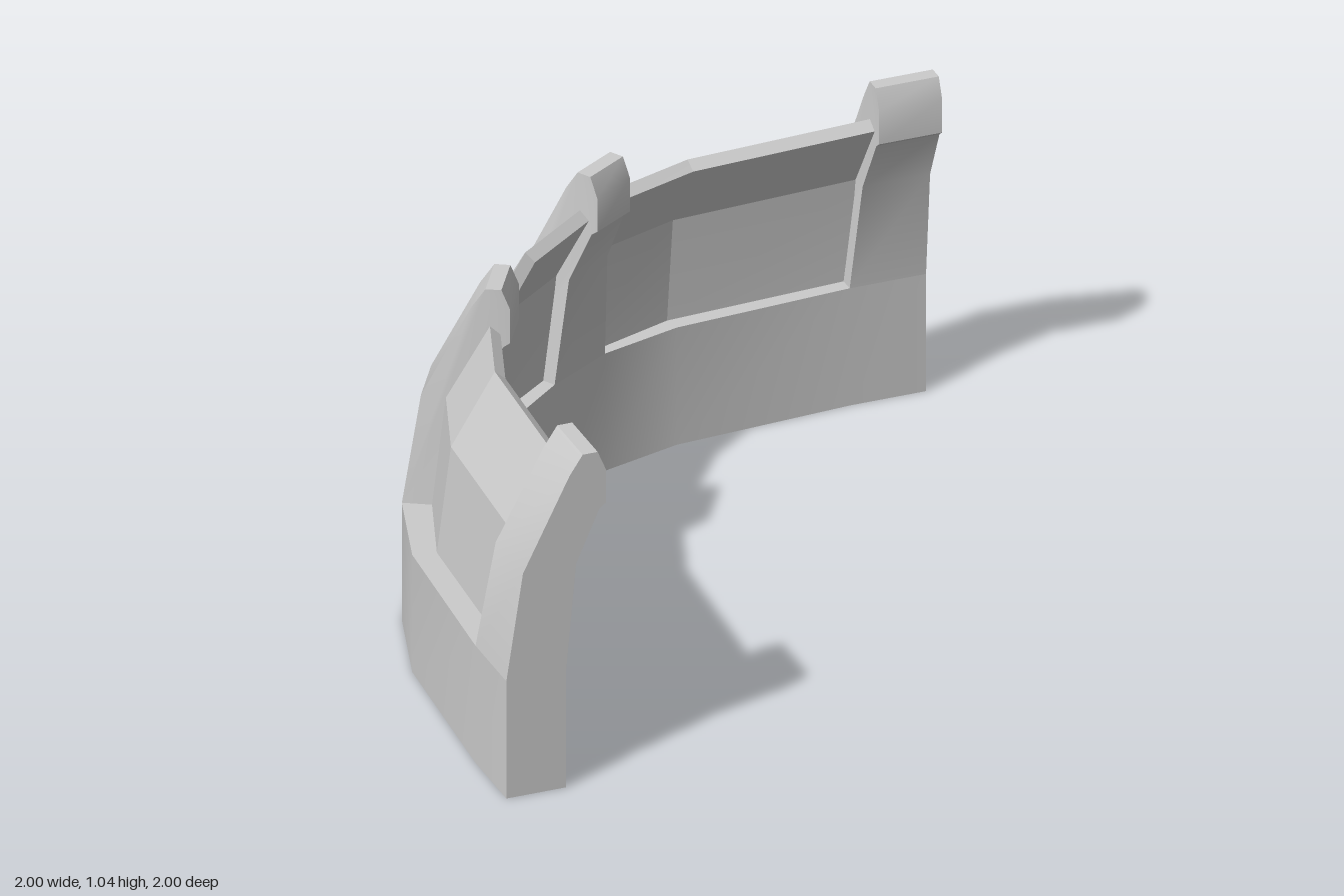
import * as THREE from 'three';
import { toCreasedNormals } from 'three/addons/utils/BufferGeometryUtils.js';

const material = new THREE.MeshStandardMaterial({ color: 0xcccccc });

// Outer plan line of half the wall: x, z and the angle of the inward direction.
const half = [
  [-1, 1, 0], [-1, 0.77, 0], [-0.96, 0.2, 11],
  [-0.87, -0.1, 30], [-0.75, -0.3, 30], [-0.55, -0.55, 45],
];
// The other half mirrors it across the diagonal.
const mirrored = half.slice(0, -1).reverse().map(([x, z, a]) => [z, x, 90 - a]);
const path = [...half, ...mirrored];

// Cross-sections as (inward offset, height), counter-clockwise.
const baseProfile = [[0, 0], [0.18, 0], [0.18, 0.37], [0, 0.37]];
const panelProfile = [
  [0.07, 0.35], [0.13, 0.35], [0.13, 0.37], [0.16, 0.7],
  [0.265, 0.9], [0.235, 0.925], [0.11, 0.7], [0.07, 0.37],
];
const pillarProfile = [
  [0, 0.37], [0.18, 0.37], [0.21, 0.7], [0.28, 0.86], [0.3, 0.875], [0.3, 0.98],
  [0.275, 1.04], [0.23, 1.04], [0.19, 0.98], [0.05, 0.7],
];

// Sweeps a closed profile along stations; shift(i, y) slides points along the wall.
function sweep(name, stations, profile, crease, shift = () => 0) {
  const n = profile.length;
  const positions = [];
  const index = [];
  stations.forEach(([x, z, degrees], i) => {
    const c = Math.cos(THREE.MathUtils.degToRad(degrees));
    const s = Math.sin(THREE.MathUtils.degToRad(degrees));
    for (const [d, y] of profile) {
      const t = shift(i, y);
      positions.push(x + c * d + s * t, y, z + s * d - c * t);
    }
  });
  for (let i = 0; i < stations.length - 1; i++) {
    for (let j = 0; j < n; j++) {
      const a = i * n + j;
      const b = i * n + (j + 1) % n;
      index.push(a, b + n, b, a, a + n, b + n);
    }
  }
  // End caps
  const last = (stations.length - 1) * n;
  const outline = profile.map(([d, y]) => new THREE.Vector2(d, y));
  for (const [a, b, c] of THREE.ShapeUtils.triangulateShape(outline, [])) {
    index.push(a, b, c, last + a, last + c, last + b);
  }
  const geometry = new THREE.BufferGeometry();
  geometry.setAttribute('position', new THREE.Float32BufferAttribute(positions, 3));
  geometry.setIndex(index);
  const mesh = new THREE.Mesh(toCreasedNormals(geometry, crease), material);
  mesh.name = name;
  return mesh;
}

export function createModel() {
  const group = new THREE.Group();
  group.name = 'curvedWall';

  // Low solid wall
  group.add(sweep('baseWall', path, baseProfile, 0.5));

  // Thin recessed panels, one per bay, with their ends hidden in the pillars
  const into = (i, amount) => (i === 0 ? -amount : amount);
  for (const [name, from, to] of [['rightPanel', 1, 3], ['middlePanel', 4, 6], ['backPanel', 7, 9]]) {
    const bay = path.slice(from, to + 1);
    group.add(sweep(name, bay, panelProfile, 0.1,
      (i) => (i === 0 || i === bay.length - 1 ? into(i, 0.08) : 0)));
  }

  // Pillars narrow towards their overhanging heads; free ends stay upright
  const taper = (y) => 0.04 * THREE.MathUtils.clamp((y - 0.37) / 0.49, 0, 1);
  for (const [name, k] of [['frontEndPillar', 0], ['rightPillar', 3], ['backPillar', 6], ['backEndPillar', 9]]) {
    group.add(sweep(name, [path[k], path[k + 1]], pillarProfile, 0.4, (i, y) => {
      const freeEnd = k + i === 0 || k + i === path.length - 1;
      return freeEnd ? 0 : -into(i, taper(y));
    }));
  }
  return group;
}
